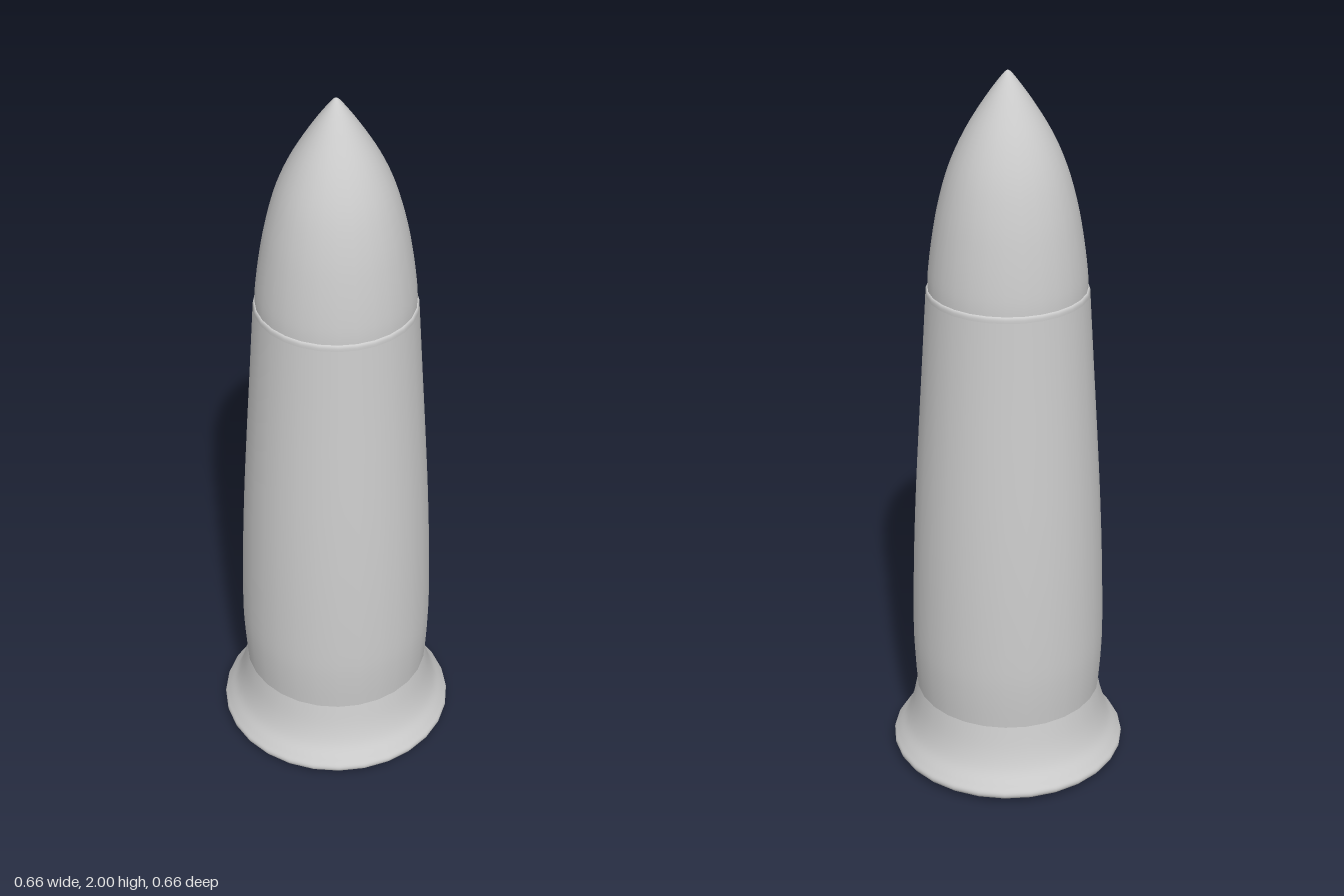
import * as THREE from 'three';

const SEGMENTS = 28;
const material = new THREE.MeshStandardMaterial({ color: 0xcccccc, side: THREE.DoubleSide });

// Smooth curve through [radius, height] points
function smooth(points, divisions) {
  const v = points.map(([r, y]) => new THREE.Vector2(r, y));
  return new THREE.SplineCurve(v).getPoints(divisions).map((p) => new THREE.Vector2(Math.max(p.x, 0), p.y));
}

function turned(name, profile) {
  const mesh = new THREE.Mesh(new THREE.LatheGeometry(profile, SEGMENTS), material);
  mesh.name = name;
  return mesh;
}

export function createModel() {
  const group = new THREE.Group();
  group.name = 'cartridge';

  // Flat underside
  group.add(turned('baseUnderside', [[0, 0], [0.15, 0], [0.29, 0.004]].map(([r, y]) => new THREE.Vector2(r, y))));

  // Rolled rim and flared foot
  group.add(turned('flaredRim', smooth([
    [0.29, 0.004], [0.322, 0.016], [0.33, 0.032], [0.318, 0.052],
    [0.293, 0.09], [0.275, 0.14], [0.26, 0.21],
  ], 28)));

  // Tapered case, slightly bulged low down
  group.add(turned('caseBody', smooth([
    [0.26, 0.21], [0.266, 0.3], [0.268, 0.4], [0.263, 0.6],
    [0.254, 0.8], [0.242, 1.0], [0.229, 1.2], [0.216, 1.405],
  ], 28)));

  // Rounded mouth of the case
  group.add(turned('caseMouth', smooth([[0.216, 1.405], [0.2155, 1.415], [0.212, 1.421], [0.205, 1.421]], 8)));

  // Pointed nose
  group.add(turned('noseTip', smooth([
    [0.211, 1.41], [0.209, 1.46], [0.198, 1.55], [0.18, 1.65],
    [0.152, 1.75], [0.112, 1.84], [0.06, 1.925], [0.014, 1.988], [0, 2.0],
  ], 32)));

  return group;
}
